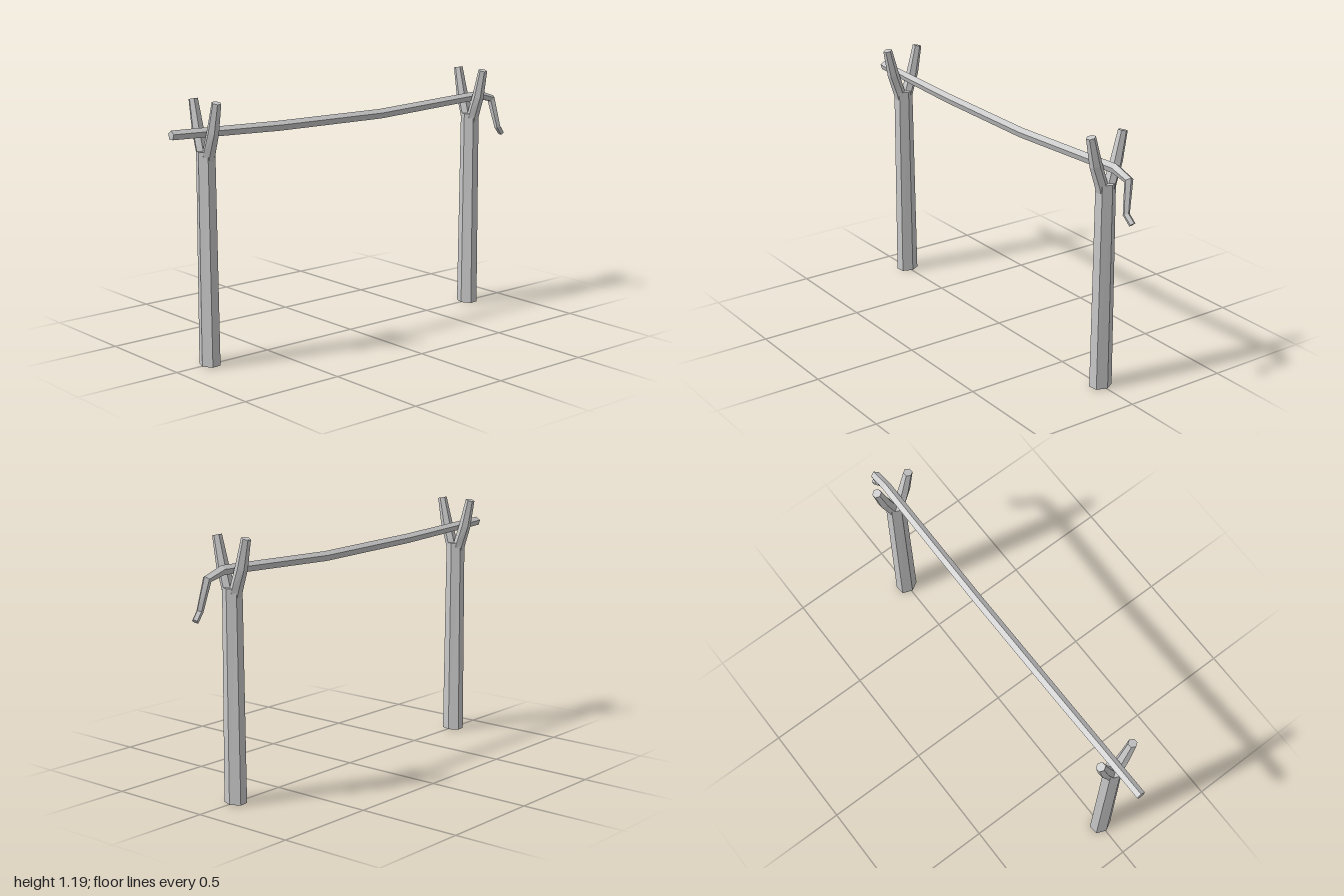
import * as THREE from 'three';

// Lofts a faceted limb through stations [x, y, z, radiusU, radiusV]; "side" fixes the U direction
function limb(name, stations, sides, side, phase, material) {
  const pts = stations.map(s => new THREE.Vector3(s[0], s[1], s[2]));
  const last = pts.length - 1;
  const rings = stations.map((s, i) => {
    const t = new THREE.Vector3();
    if (i > 0) t.add(pts[i].clone().sub(pts[i - 1]).normalize());
    if (i < last) t.add(pts[i + 1].clone().sub(pts[i]).normalize());
    t.normalize();
    const u = side.clone().addScaledVector(t, -side.dot(t)).normalize();
    const v = t.clone().cross(u);
    return Array.from({ length: sides }, (_, k) => {
      const a = phase + (k / sides) * Math.PI * 2;
      return pts[i].clone()
        .addScaledVector(u, Math.cos(a) * s[3])
        .addScaledVector(v, Math.sin(a) * (s[4] ?? s[3]));
    });
  });
  const tris = [];
  for (let k = 0; k < sides; k++) {
    const n = (k + 1) % sides;
    for (let i = 0; i < last; i++) {
      const [a, b, c, d] = [rings[i][k], rings[i][n], rings[i + 1][n], rings[i + 1][k]];
      tris.push(a, b, c, a, c, d);
    }
    // End caps
    tris.push(pts[0], rings[0][n], rings[0][k]);
    tris.push(pts[last], rings[last][k], rings[last][n]);
  }
  const geometry = new THREE.BufferGeometry().setFromPoints(tris);
  geometry.computeVertexNormals();
  const mesh = new THREE.Mesh(geometry, material);
  mesh.name = name;
  return mesh;
}

export function createModel() {
  const model = new THREE.Group();
  model.name = 'branchRack';
  const wood = new THREE.MeshStandardMaterial({ color: 0xc8c8c8 });
  wood.name = 'plainWood';
  const X = new THREE.Vector3(1, 0, 0);
  const Z = new THREE.Vector3(0, 0, 1);

  // Two forked uprights
  for (const [name, x] of [['rightSupport', -0.822], ['leftSupport', 0.779]]) {
    const support = new THREE.Group();
    support.name = name;
    support.position.x = x;
    support.add(limb('post', [[0, 0, 0, 0.045, 0.054], [0, 0.965, 0, 0.042, 0.046]],
      6, X, 0.09, wood));
    for (const s of [1, -1]) {
      support.add(limb(s > 0 ? 'frontProng' : 'backProng', [
        [0, 0.9, s * 0.01, 0.03, 0.026],
        [0, 0.965, s * 0.026, 0.031, 0.028],
        [0, 1.055, s * 0.056, 0.027, 0.029],
        [0, 1.185, s * 0.086, 0.021, 0.022],
      ], 6, X, 0.09, wood));
    }
    model.add(support);
  }

  // Sagging crossbar that bends down into a crooked twig at its left end
  model.add(limb('crossbar', [
    [-1, 1.053, 0, 0.022],
    [-0.42, 1.031, 0, 0.024],
    [0.18, 1.022, 0, 0.024],
    [0.84, 1.047, 0, 0.023],
    [0.928, 1.022, 0, 0.021],
    [0.95, 0.882, 0.026, 0.016],
    [0.984, 0.845, 0.02, 0.015],
  ], 5, Z, -Math.PI / 2, wood));

  return model;
}
